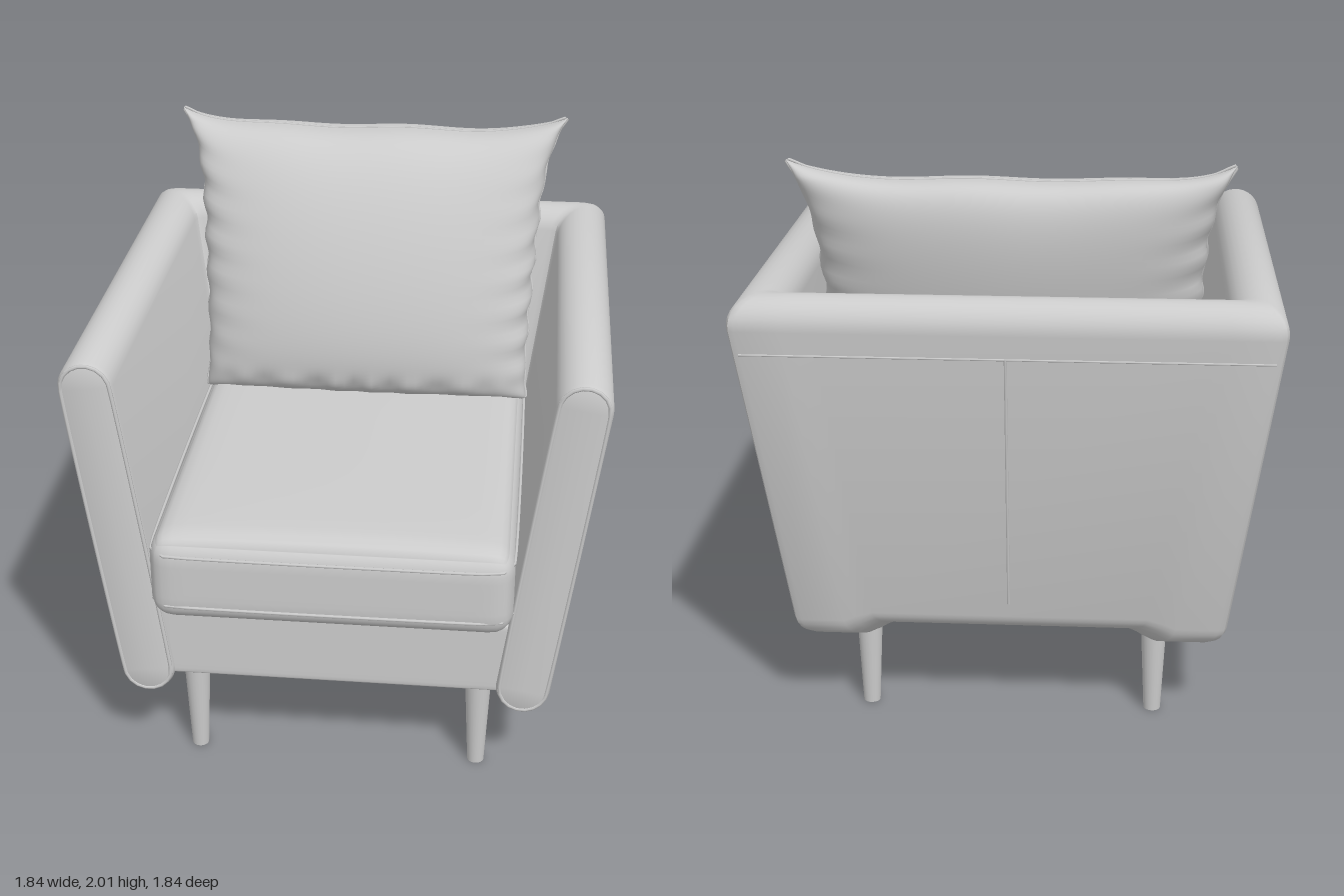
import * as THREE from 'three';
import { mergeVertices, toCreasedNormals } from 'three/addons/utils/BufferGeometryUtils.js';

const V = (x, y, z) => new THREE.Vector3(x, y, z);
const clamp = THREE.MathUtils.clamp;
const material = new THREE.MeshStandardMaterial({ color: 0xcccccc });

function add(group, name, geometry) {
  const mesh = new THREE.Mesh(geometry, material);
  mesh.name = name;
  group.add(mesh);
  return mesh;
}

// Thin cord used for seams and piping
function cord(points, radius, closed) {
  const path = new THREE.CatmullRomCurve3(points, closed);
  return new THREE.TubeGeometry(path, points.length * 3, radius, 6, closed);
}

// Quads between rows of points, wound so rows run "away" and columns run "up" on the outside
function loft(rows, closed) {
  const n = rows[0].length, index = [];
  for (let i = 0; i < rows.length - 1; i++) {
    for (let j = 0; j < (closed ? n : n - 1); j++) {
      const k = (j + 1) % n;
      const a = i * n + j, b = i * n + k, c = b + n, d = a + n;
      index.push(a, d, c, a, c, b);
    }
  }
  const geometry = new THREE.BufferGeometry().setFromPoints(rows.flat());
  geometry.setIndex(index);
  return geometry;
}

// Leaning slab section with round top and bottom: [distance outward, height]
const R = 0.095, TOP = [0.825, 1.495], BOTTOM = [0.67, 0.385];
const LEAN = (TOP[0] - BOTTOM[0]) / (TOP[1] - BOTTOM[1]);
function section(inset) {
  const points = [], tilt = -Math.atan(LEAN);
  for (const [centre, start] of [[TOP, 0], [BOTTOM, Math.PI]]) {
    for (let i = 0; i <= 14; i++) {
      const a = tilt + start + (i / 14) * Math.PI;
      points.push([centre[0] + (R - inset) * Math.cos(a), centre[1] + (R - inset) * Math.sin(a)]);
    }
  }
  return points;
}

// Arms and back: one section carried round three sides with mitred corners
function shell() {
  const raise = (y, lift) => y + lift * clamp((0.55 - y) / 0.26, 0, 1);
  const stations = [];
  for (const [inset, z] of [[R, 0.83], [0.02, 0.83], [0.006, 0.824], [0, 0.81]]) {
    stations.push(section(inset).map(([u, y]) => V(u, y, z)));
  }
  for (const [dx, dz] of [[0, 0.03], [0.009, 0.009], [0.03, 0]]) {
    stations.push(section(0).map(([u, y]) => V(u - dx, y, -u + dz)));
  }
  for (const [dx, lift] of [[0.18, 0], [0.22, 0.025], [0.28, 0.05]]) {
    stations.push(section(0).map(([u, y]) => V(u - dx, raise(y, lift), -u)));
  }
  const mirrored = stations.map(row => row.map(p => V(-p.x, p.y, p.z))).reverse();
  return toCreasedNormals(loft([...stations, ...mirrored], true), 0.7);
}

// Rounded block with a domed top
function softBox(w, h, d, r, crown) {
  let geometry = new THREE.BoxGeometry(2, 2, 2, 24, 16, 24);
  geometry.deleteAttribute('normal');
  geometry.deleteAttribute('uv');
  geometry = mergeVertices(geometry);
  const position = geometry.attributes.position, half = V(w / 2, h / 2, d / 2);
  const limit = half.clone().subScalar(r), p = V(0, 0, 0);
  for (let i = 0; i < position.count; i++) {
    p.fromBufferAttribute(position, i);
    const { x, y, z } = p;
    for (const axis of ['x', 'y', 'z']) p[axis] = Math.sin(p[axis] * Math.PI / 2) * half[axis];
    const inner = p.clone().clamp(limit.clone().negate(), limit);
    p.sub(inner).normalize().multiplyScalar(r).add(inner);
    if (y > 0) p.y += crown * y * (1 - x * x) * (1 - z ** 4);
    position.setXYZ(i, p.x, p.y, p.z);
  }
  geometry.computeVertexNormals();
  return geometry;
}

// Point on the back pillow: s across, t up, side +1 front, -1 rear, 0 seam
function pillowPoint(s, t, side) {
  const ss = s * s, tt = t * t;
  const fill = Math.pow(Math.max(0, (1 - ss) * (1 - tt)), 0.33);
  const gather = Math.pow(Math.abs(s), 8) * (1 - tt);
  const low = Math.exp(-Math.pow((t + 0.88) / 0.08, 2)) * (1 - ss);
  const x = s * (0.64 + 0.03 * t + 0.075 * tt * tt * (t > 0 ? 1 : 0.3)
    + 0.008 * gather * Math.sin(t * 24 + s));
  const top = 1.94 + 0.06 * ss * ss * ss + 0.004 * Math.sin(s * 9);
  const bottom = 0.975 - 0.02 * ss * ss;
  const y = THREE.MathUtils.lerp(bottom, top, (t + 1) / 2);
  const seam = -0.65 + 0.31 * (1.95 - Math.min(y, 1.95));
  const folds = 0.012 * gather * Math.sin(t * 26 + s * 3) + 0.012 * low * Math.sin(s * 24 + Math.sin(s * 7));
  return V(x, y, seam + side * ((side > 0 ? 0.25 : 0.22) * fill + folds * (fill > 0 ? 1 : 0)));
}

function pillowHalf(side) {
  const rows = [], n = 56;
  const ease = i => i === 0 ? -1 : i === n ? 1 : Math.sin((i / n - 0.5) * Math.PI);
  for (let i = 0; i <= n; i++) {
    const row = [];
    for (let j = 0; j <= n; j++) row.push(pillowPoint(side * ease(i), ease(j), side));
    rows.push(row);
  }
  const geometry = loft(rows, false);
  geometry.computeVertexNormals();
  return geometry;
}

export function createModel() {
  const chair = new THREE.Group();
  chair.name = 'armchair';

  // Upholstered frame
  add(chair, 'armsAndBack', shell());
  const base = add(chair, 'seatBase', softBox(1.26, 0.28, 1.53, 0.015, 0));
  base.position.set(0, 0.5, 0.045);

  // Piping round the arm fronts
  for (const side of [-1, 1]) {
    const outline = section(0.012).map(([u, y]) => V(side * u, y, 0.826));
    add(chair, 'armPiping', cord(outline, 0.007, true));
  }

  // Seams on the outside of the back
  const backZ = y => -(TOP[0] + R - (TOP[1] - y) * LEAN) - 0.0005;
  add(chair, 'backTopSeam', cord([V(-0.88, 1.4, backZ(1.4)), V(0, 1.4, backZ(1.4)), V(0.88, 1.4, backZ(1.4))], 0.004, false));
  add(chair, 'backCentreSeam', cord([V(0, 1.4, backZ(1.4)), V(0, 0.9, backZ(0.9)), V(0, 0.46, backZ(0.46))], 0.005, false));

  // Seat cushion with two rows of piping
  const seat = new THREE.Group();
  seat.name = 'seatCushion';
  seat.position.set(-0.005, 0.8025, 0.105);
  add(seat, 'seatPad', softBox(1.26, 0.325, 1.61, 0.08, 0.03));
  for (const y of [0.105, -0.095]) {
    const ring = [];
    for (let q = 0; q < 4; q++) {
      const cx = q === 0 || q === 3 ? 0.55 : -0.55, cz = q < 2 ? 0.725 : -0.725;
      for (let i = 0; i <= 5; i++) {
        const a = (q + i / 5) * Math.PI / 2;
        ring.push(V(cx + 0.077 * Math.cos(a), y, cz + 0.077 * Math.sin(a)));
      }
    }
    add(seat, 'seatPiping', cord(ring, 0.006, true));
  }
  chair.add(seat);

  // Back pillow
  const pillow = new THREE.Group();
  pillow.name = 'backPillow';
  add(pillow, 'pillowFront', pillowHalf(1));
  add(pillow, 'pillowRear', pillowHalf(-1));
  const edge = [];
  for (const [s0, t0, ds, dt] of [[-1, -1, 1, 0], [1, -1, 0, 1], [1, 1, -1, 0], [-1, 1, 0, -1]]) {
    for (let i = 0; i < 20; i++) edge.push(pillowPoint(s0 + ds * i / 10, t0 + dt * i / 10, 0));
  }
  add(pillow, 'pillowSeam', cord(edge, 0.005, true));
  chair.add(pillow);

  // Tapered legs
  for (const x of [-0.51, 0.51]) {
    for (const z of [0.725, -0.64]) {
      const leg = add(chair, 'leg', new THREE.CylinderGeometry(0.048, 0.03, 0.38, 24));
      leg.position.set(x, 0.19, z);
    }
  }
  return chair;
}
